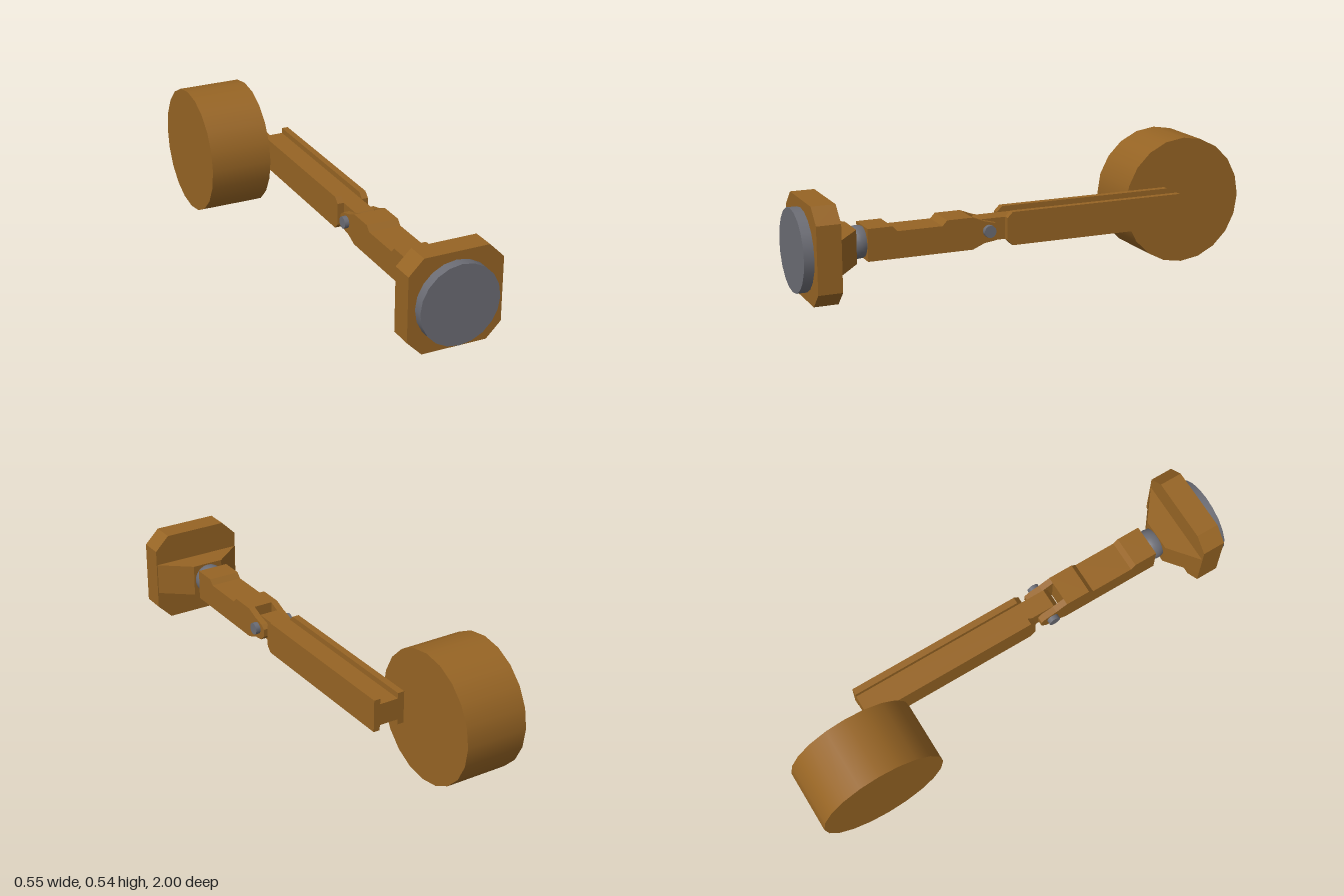
import * as THREE from 'three';

const wood = new THREE.MeshStandardMaterial({ color: 0x966424 });
wood.name = 'brown';
const metal = new THREE.MeshStandardMaterial({ color: 0x6b6c74 });
metal.name = 'grey';

const shapeOf = (pts) => new THREE.Shape(pts.map(([a, b]) => new THREE.Vector2(a, b)));
const extrude = (pts, depth) =>
  new THREE.ExtrudeGeometry(shapeOf(pts), { depth, bevelEnabled: false });

// side profile given as (z, y), spanning x0..x1
const sideProfile = (pts, x0, x1) =>
  extrude(pts, x1 - x0).rotateY(-Math.PI / 2).translate(x1, 0, 0);

export function createModel() {
  const group = new THREE.Group();
  const add = (name, geometry, material = wood) => {
    const mesh = new THREE.Mesh(geometry, material);
    mesh.name = name;
    group.add(mesh);
    return mesh;
  };

  const cx = 0.078; // centre line of the arm
  const left = 0.145, right = 0.01; // outer sides of the arm
  const inL = 0.118, inR = 0.038; // inner sides of fork and channel

  // Large drum beside the rear end
  add('drum', new THREE.CylinderGeometry(0.268, 0.268, 0.265, 20)
    .rotateZ(Math.PI / 2).translate(-0.1445, 0.268, -0.732));

  // Rear arm: web with two side plates forming an H section
  add('rearWeb', sideProfile([
    [-0.63, 0.225], [0.245, 0.225], [0.267, 0.25], [0.267, 0.29], [0.245, 0.315], [-0.63, 0.315],
  ], inR, inL));
  const plate = [
    [-0.63, 0.203], [0.12, 0.203], [0.142, 0.225], [0.142, 0.316], [0.12, 0.338], [-0.63, 0.338],
  ];
  add('rearPlateLeft', sideProfile(plate, inL, left));
  add('rearPlateRight', sideProfile(plate, right, inR));

  // Front arm with a shallow step on top, ending in a fork
  add('frontArm', sideProfile([
    [0.29, 0.204], [0.72, 0.204], [0.72, 0.333], [0.62, 0.333], [0.6, 0.312],
    [0.416, 0.312], [0.396, 0.333], [0.29, 0.333],
  ], right, left));
  const prong = [
    [0.29, 0.204], [0.29, 0.333], [0.24, 0.313], [0.19, 0.3], [0.171, 0.285],
    [0.171, 0.253], [0.195, 0.231], [0.24, 0.225],
  ].reverse();
  add('forkLeft', sideProfile(prong, inL, left));
  add('forkRight', sideProfile(prong, right, inR));

  // Hinge pin and ball joint
  add('hingePin', new THREE.CylinderGeometry(0.025, 0.025, 0.174, 12)
    .rotateZ(Math.PI / 2).translate(cx, 0.273, 0.223), metal);
  add('ballJoint', new THREE.SphereGeometry(0.065, 20, 14).translate(cx, 0.269, 0.742), metal);

  // Wedge neck, drawn in plan as (x, -z)
  add('neck', extrude([
    [-0.115, -0.866], [0.273, -0.866], [left, -0.765], [right, -0.765],
  ], 0.134).rotateX(-Math.PI / 2).translate(0, 0.201, 0));

  // Octagonal head and front disc
  const x0 = -0.115, x1 = 0.275, y0 = 0.074, y1 = 0.46, c = 0.061;
  add('head', extrude([
    [x0 + c, y0], [x1 - c, y0], [x1, y0 + c], [x1, y1 - c],
    [x1 - c, y1], [x0 + c, y1], [x0, y1 - c], [x0, y0 + c],
  ], 0.096).translate(0, 0, 0.864));
  add('frontDisc', new THREE.CylinderGeometry(0.164, 0.164, 0.042, 20)
    .rotateX(Math.PI / 2).translate(cx, 0.264, 0.979), metal);

  return group;
}
